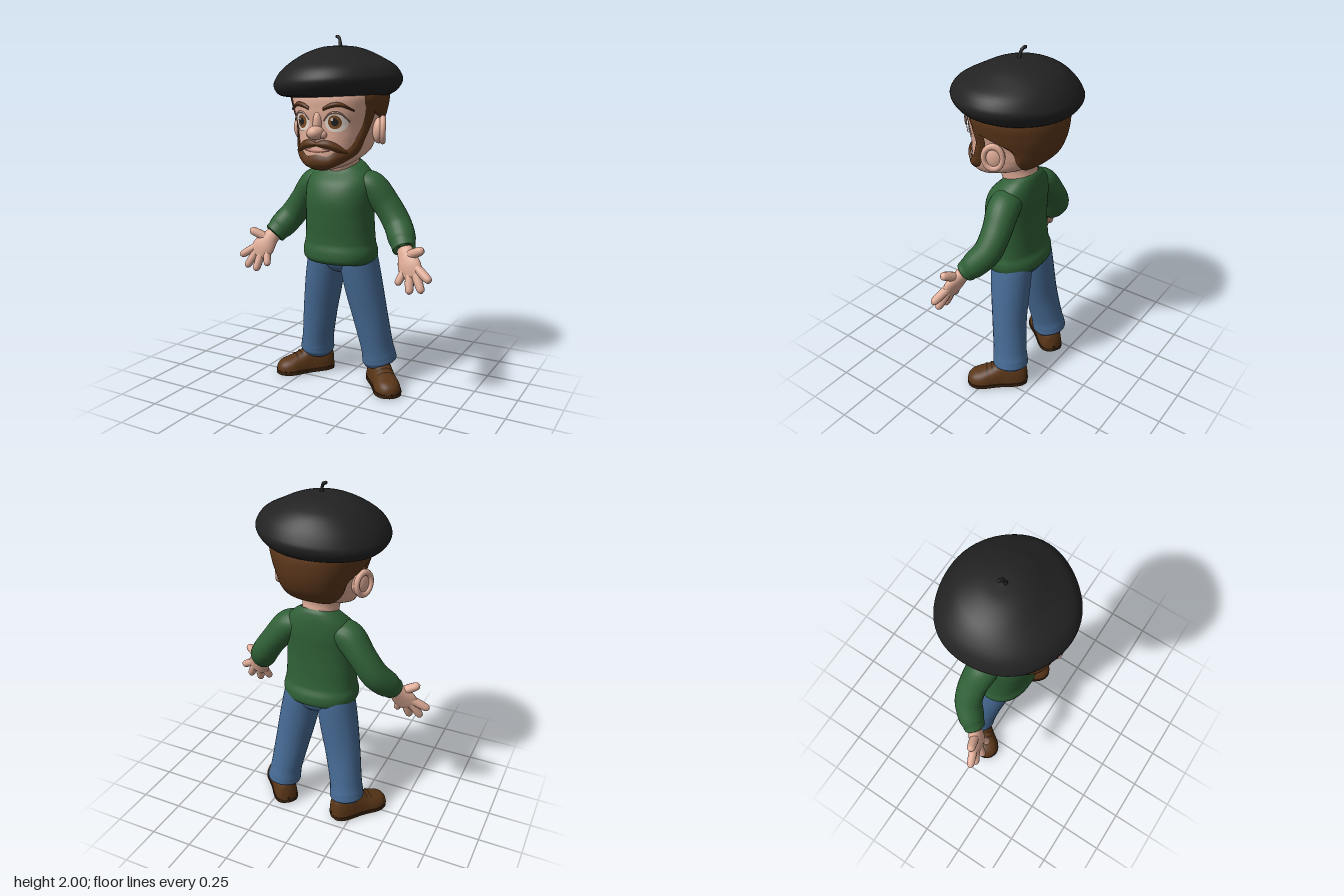
import * as THREE from 'three';
import { ParametricGeometry } from 'three/addons/geometries/ParametricGeometry.js';

const mat = (name, color) => {
  const m = new THREE.MeshStandardMaterial({ color, side: THREE.DoubleSide });
  m.name = name;
  return m;
};

// Smooth interpolation of table rows, keyed by their ascending first column
function at(rows, k) {
  const n = rows.length;
  let i = 0;
  while (i < n - 2 && k > rows[i + 1][0]) i++;
  const a = rows[i], b = rows[i + 1], p = rows[Math.max(i - 1, 0)], q = rows[Math.min(i + 2, n - 1)];
  const h = b[0] - a[0], t = THREE.MathUtils.clamp((k - a[0]) / h, 0, 1), t2 = t * t, t3 = t2 * t;
  return a.map((_, c) => {
    const m0 = (b[c] - p[c]) / (b[0] - p[0]) * h, m1 = (q[c] - a[c]) / (q[0] - a[0]) * h;
    return (2 * t3 - 3 * t2 + 1) * a[c] + (t3 - 2 * t2 + t) * m0 + (3 * t2 - 2 * t3) * b[c] + (t3 - t2) * m1;
  });
}
const spow = (v, p) => Math.sign(v) * Math.abs(v) ** p;
const rad = THREE.MathUtils.degToRad;
const indexed = rows => rows.map((r, i) => [i, ...r]);
const smooth = THREE.MathUtils.smoothstep;

// Point on a body with rows [y, halfWidth, zFront, zBack, zCentre]; angle 0 is the front
function onBody(rows, y, ang, off, out) {
  const [, w, zf, zb, zc] = at(rows, y);
  const c = Math.cos(ang);
  return out.set((w + off) * spow(Math.sin(ang), 0.9), y, zc + ((c > 0 ? zf - zc : zc - zb) + off) * spow(c, 0.9));
}

// Round limb through rows [x, y, z, radiusAcross, radiusFrontBack]
function limb(points, s = 1, slices = 20, stacks = 28) {
  const rows = indexed(points.map(([x, ...r]) => [x * s, ...r])), last = rows.length - 1;
  const pos = k => { const r = at(rows, k); return new THREE.Vector3(r[1], r[2], r[3]); };
  return new ParametricGeometry((u, v, out) => {
    const k = v * last, r = at(rows, k), a = u * Math.PI * 2;
    const T = pos(Math.min(k + 0.01, last)).sub(pos(Math.max(k - 0.01, 0))).normalize();
    const N = new THREE.Vector3(0, 0, 1).addScaledVector(T, -T.z).normalize();
    const B = new THREE.Vector3().crossVectors(T, N);
    out.set(r[1], r[2], r[3]).addScaledVector(N, Math.cos(a) * r[5]).addScaledVector(B, Math.sin(a) * r[4]);
  }, slices, stacks);
}
function finger(base, tip, r, s) {
  const p = t => base.map((b, i) => b + (tip[i] - b) * t);
  return limb([[...p(0), r, r], [...p(0.55), r, r], [...p(0.88), r * 0.8, r * 0.8], [...p(1), 0.002, 0.002]], s, 12, 14);
}

const HEAD = [
  [1.278, 0.01, 0.19, 0.16, 0.175], [1.288, 0.06, 0.225, 0.13, 0.17], [1.305, 0.11, 0.24, 0.1, 0.14],
  [1.335, 0.15, 0.248, 0.02, 0.07], [1.38, 0.183, 0.25, -0.12, 0.01], [1.45, 0.2, 0.245, -0.21, 0],
  [1.52, 0.212, 0.24, -0.25, 0], [1.6, 0.236, 0.245, -0.267, 0], [1.68, 0.25, 0.24, -0.262, 0],
  [1.76, 0.22, 0.18, -0.22, 0]];
const TORSO = [
  [0.745, 0.195, 0.13, -0.165, -0.02], [0.765, 0.213, 0.148, -0.183, -0.02], [0.81, 0.22, 0.15, -0.183, -0.02],
  [0.86, 0.209, 0.14, -0.163, -0.02], [1.0, 0.2, 0.148, -0.152, -0.02], [1.1, 0.2, 0.15, -0.152, -0.02],
  [1.18, 0.2, 0.128, -0.155, -0.03], [1.24, 0.18, 0.088, -0.15, -0.04], [1.28, 0.135, 0.055, -0.138, -0.04],
  [1.3, 0.1, 0.045, -0.125, -0.04]];

// Loft of a whole body table
function loft(rows, slices, stacks, rule) {
  const y0 = rows[0][0], y1 = rows[rows.length - 1][0];
  return new ParametricGeometry((u, v, out) => {
    onBody(rows, y0 + (y1 - y0) * v, u * Math.PI * 2, 0, out);
    if (rule) rule(out);
  }, slices, stacks);
}
// Point on the face from front-view x and y
function onFace(x, y, off, out) {
  const w = at(HEAD, y)[1];
  const q = THREE.MathUtils.clamp(x / w, -0.99, 0.99);
  return onBody(HEAD, y, Math.asin(spow(q, 1 / 0.9)), off, out);
}
const disc = (x, y, rx, ry, off) => new ParametricGeometry((u, v, out) => {
  const a = -u * Math.PI * 2, r = 0.001 + v * 0.999;
  onFace(x + rx * r * Math.cos(a), y + ry * r * Math.sin(a), off, out);
}, 28, 6);
// Face ribbon with rows [x, yBottom, yTop]
const ribbon = (rows, s, off, bulge = 0) => new ParametricGeometry((u, v, out) => {
  const x0 = rows[0][0], x1 = rows[rows.length - 1][0];
  const [x, lo, hi] = at(rows, x0 + (x1 - x0) * (s > 0 ? u : 1 - u));
  onFace(x * s, lo + (hi - lo) * v, off + bulge * Math.sin(Math.PI * v), out);
}, 24, 6);

export function createModel() {
  const g = new THREE.Group();
  g.name = 'man';
  const skin = mat('skin', 0xdfac97), hair = mat('hair brown', 0x5c371b), black = mat('hat black', 0x222223);
  const green = mat('sweater green', 0x2f5f36), denim = mat('denim blue', 0x466a94), leather = mat('shoe brown', 0x5a3618);
  const sole = mat('sole dark brown', 0x38220f), white = mat('eye white', 0xe9dcd2), iris = mat('iris brown', 0x7d4d26);
  const lip = mat('lip', 0xb97b6a);
  const add = (name, geo, m, parent = g) => {
    const mesh = new THREE.Mesh(geo, m);
    mesh.name = name;
    parent.add(mesh);
    return mesh;
  };
  const ball = (name, m, p, r) => {
    const mesh = add(name, new THREE.SphereGeometry(1, 28, 20), m);
    mesh.position.set(...p);
    mesh.scale.set(...r);
    return mesh;
  };

  // Beret: soft profile [radius, y], tilted to one side, with a stem
  const beret = indexed([[0.2, 1.71], [0.25, 1.672], [0.272, 1.672], [0.315, 1.69], [0.342, 1.73], [0.338, 1.77],
    [0.295, 1.83], [0.2, 1.894], [0.1, 1.932], [0.001, 1.942]]);
  add('beret', new ParametricGeometry((u, v, out) => {
    const [, r, y] = at(beret, v * 9), a = u * Math.PI * 2, k = smooth(r, 0.2, 0.34);
    const rr = r * (1 + k * (0.015 * Math.sin(3 * a + 2) + 0.008 * Math.sin(5 * a)));
    out.set(rr * Math.sin(a) * 1.03 - 0.01, y + k * 0.06 * rr * Math.sin(a), rr * Math.cos(a) - 0.03 * (1 - k));
  }, 64, 40), black);
  add('beretStem', limb([[-0.002, 1.93, -0.018, 0.013, 0.013], [-0.006, 1.962, -0.022, 0.008, 0.008],
    [-0.016, 1.983, -0.028, 0.009, 0.009], [-0.034, 1.991, -0.036, 0.009, 0.009], [-0.038, 1.991, -0.038, 0.002, 0.002]], 1, 10, 16), black);

  // Head, neck and hair
  add('head', loft(HEAD, 56, 48), skin);
  add('neck', limb([[0, 1.24, -0.05, 0.1, 0.09], [0, 1.34, -0.02, 0.105, 0.105], [0, 1.44, -0.01, 0.13, 0.13]]), skin);
  const hairline = [[1.378, 162], [1.4, 143], [1.45, 124], [1.53, 112], [1.575, 88], [1.61, 66], [1.72, 58]];
  add('hair', new ParametricGeometry((u, v, out) => {
    const y = 1.378 + 0.342 * v, a = rad(at(hairline, y)[1]);
    onBody(HEAD, y, a + (2 * Math.PI - 2 * a) * u, 0.004 + 0.014 * smooth(Math.min(u, 1 - u), 0, 0.05), out);
  }, 56, 40), hair);

  // Beard: rows [innerAngle, innerY, outerAngle, outerY] from sideburn to chin
  const beard = indexed([[64, 1.63, 84, 1.62], [66, 1.54, 83, 1.53], [60, 1.47, 75, 1.45], [51, 1.41, 69, 1.375],
    [40, 1.39, 60, 1.335], [28, 1.385, 45, 1.302], [17, 1.362, 25, 1.288], [0, 1.372, 0, 1.284]]);
  add('beard', new ParametricGeometry((u, v, out) => {
    const t = 2 * u - 1, [, ai, yi, ao, yo] = at(beard, (1 - Math.abs(t)) * 7);
    onBody(HEAD, yo + (yi - yo) * v, rad(ao + (ai - ao) * v) * Math.sign(t), 0.005 + 0.012 * Math.sin(Math.PI * v), out);
  }, 80, 10), hair);
  add('mouth', ribbon([[-0.075, 1.392, 1.4], [0, 1.38, 1.4], [0.075, 1.392, 1.4]], 1, 0.004, 0.004), lip);

  // Nose
  ball('noseTip', skin, [0, 1.485, 0.258], [0.045, 0.038, 0.052]);
  ball('noseBridge', skin, [0, 1.53, 0.228], [0.028, 0.07, 0.036]);

  // Sweater body with a collar higher at the back
  add('sweater', loft(TORSO, 48, 48, p => { p.y -= 0.25 * p.z * smooth(p.y, 1.2, 1.3); }), green);
  ball('hips', denim, [0, 0.765, -0.045], [0.195, 0.1, 0.118]);

  for (const s of [1, -1]) {
    const side = s > 0 ? 'left' : 'right';
    // Face details
    add(side + 'Moustache', ribbon([[0, 1.416, 1.436], [0.03, 1.408, 1.447], [0.07, 1.4, 1.445], [0.11, 1.382, 1.425], [0.14, 1.37, 1.392]], s, 0.005, 0.014), hair);
    add(side + 'Eyebrow', ribbon([[0.04, 1.6, 1.618], [0.08, 1.615, 1.64], [0.13, 1.62, 1.642], [0.18, 1.596, 1.606]], s, 0.006, 0.01), hair);
    add(side + 'EyeWhite', disc(0.1 * s, 1.54, 0.054, 0.05, 0.004), white);
    add(side + 'Iris', disc(0.095 * s, 1.542, 0.032, 0.036, 0.007), iris);
    add(side + 'Pupil', disc(0.095 * s, 1.542, 0.017, 0.02, 0.01), black);
    add(side + 'EyeGlint', disc(0.095 * s - 0.012, 1.556, 0.007, 0.008, 0.012), white);
    add(side + 'UpperLid', ribbon([[0.043, 1.545, 1.556], [0.07, 1.577, 1.588], [0.1, 1.586, 1.598], [0.13, 1.577, 1.588], [0.158, 1.54, 1.55]], s, 0.01, 0.004), skin);
    ball(side + 'Nostril', skin, [0.037 * s, 1.475, 0.247], [0.022, 0.022, 0.026]);

    // Ear with a raised rim
    const ear = ball(side + 'Ear', skin, [0.228 * s, 1.488, -0.03], [0.035, 0.07, 0.055]);
    ear.rotation.y = 0.4 * s;
    const rim = add(side + 'EarRim', new THREE.TorusGeometry(0.055, 0.016, 10, 28), skin);
    rim.position.set(0.25 * s, 1.492, -0.035);
    rim.scale.set(0.9, 1.12, 1);
    rim.rotation.y = (Math.PI / 2 + 0.45) * s;

    // Sleeve
    add(side + 'Sleeve', limb([[0.1, 1.2, -0.045, 0.06, 0.08], [0.18, 1.175, -0.05, 0.085, 0.09], [0.268, 1.075, -0.065, 0.077, 0.082],
      [0.335, 0.98, -0.055, 0.078, 0.078], [0.385, 0.91, -0.008, 0.078, 0.072], [0.405, 0.88, 0.018, 0.068, 0.062],
      [0.418, 0.86, 0.034, 0.064, 0.056], [0.416, 0.863, 0.032, 0.04, 0.035]], s, 24, 42), green);

    // Hand with open fingers
    const hand = new THREE.Group();
    hand.name = side + 'Hand';
    g.add(hand);
    add(side + 'Palm', limb([[0.405, 0.88, 0.02, 0.04, 0.035], [0.435, 0.84, 0.05, 0.05, 0.036], [0.465, 0.79, 0.077, 0.068, 0.034],
      [0.487, 0.75, 0.092, 0.064, 0.027], [0.497, 0.73, 0.1, 0.04, 0.018], [0.5, 0.724, 0.102, 0.002, 0.002]], s), skin, hand);
    [['Index', [0.51, 0.785, 0.085], [0.608, 0.722, 0.122], 0.024], ['Middle', [0.505, 0.76, 0.09], [0.563, 0.657, 0.128], 0.024],
      ['Ring', [0.475, 0.75, 0.09], [0.493, 0.643, 0.133], 0.024], ['Little', [0.445, 0.765, 0.08], [0.415, 0.68, 0.122], 0.022],
      ['Thumb', [0.45, 0.835, 0.06], [0.553, 0.885, 0.095], 0.026]]
      .forEach(([n, a, b, r]) => add(side + n + 'Finger', finger(a, b, r, s), skin, hand));

    // Trouser leg with a turned hem
    add(side + 'TrouserLeg', limb([[0.1, 0.8, -0.04, 0.1, 0.115], [0.106, 0.74, -0.045, 0.109, 0.12], [0.13, 0.6, -0.055, 0.111, 0.113],
      [0.165, 0.42, -0.073, 0.103, 0.1], [0.197, 0.24, -0.098, 0.094, 0.1], [0.207, 0.175, -0.108, 0.098, 0.105],
      [0.211, 0.14, -0.112, 0.096, 0.1], [0.211, 0.145, -0.112, 0.05, 0.05]], s, 28, 42), denim);

    // Shoe, rows [z, halfWidth, height], turned outwards
    const shoe = new THREE.Group();
    shoe.name = side + 'Shoe';
    shoe.position.set(0.262 * s, 0, -0.052);
    shoe.rotation.y = rad(40) * s;
    g.add(shoe);
    const last = [[-0.182, 0.004, 0.05], [-0.172, 0.04, 0.12], [-0.14, 0.064, 0.155], [-0.08, 0.07, 0.165], [-0.02, 0.067, 0.155],
      [0.04, 0.07, 0.122], [0.1, 0.075, 0.1], [0.145, 0.062, 0.085], [0.172, 0.036, 0.062], [0.182, 0.004, 0.035]];
    const upper = (z, a, off, out) => {
      const [, w, h] = at(last, z);
      return out.set((w + off) * spow(Math.cos(a), 0.8), 0.02 + (h - 0.02 + off) * Math.sin(a) ** 0.8, z);
    };
    add(side + 'ShoeUpper', new ParametricGeometry((u, v, out) => {
      upper(-0.182 * Math.cos(Math.PI * v), Math.min(Math.max(u, 1e-4), 0.9999) * Math.PI, 0, out);
    }, 24, 30), leather, shoe);
    const outline = [];
    for (const e of [1, -1]) for (let i = 0; i <= 20; i++) {
      const z = -0.182 * Math.cos(Math.PI * i / 20) * e;
      outline.push(new THREE.Vector2(e * (at(last, z)[1] + 0.004), -z));
    }
    const soleGeo = new THREE.ExtrudeGeometry(new THREE.Shape(outline), { depth: 0.022, bevelEnabled: false });
    add(side + 'ShoeSole', soleGeo.rotateX(-Math.PI / 2).translate(0, 0.008, 0), sole, shoe);
    const heel = add(side + 'ShoeHeel', new THREE.CylinderGeometry(0.06, 0.058, 0.02, 24), sole, shoe);
    heel.position.set(0, 0.01, -0.112);
    for (const z of [0.0, 0.03, 0.06]) add(side + 'Lace', new ParametricGeometry((u, v, out) => {
      upper(z + 0.01 * v, rad(55 + 70 * u), 0.004, out);
    }, 10, 2), sole, shoe);
  }
  return g;
}
